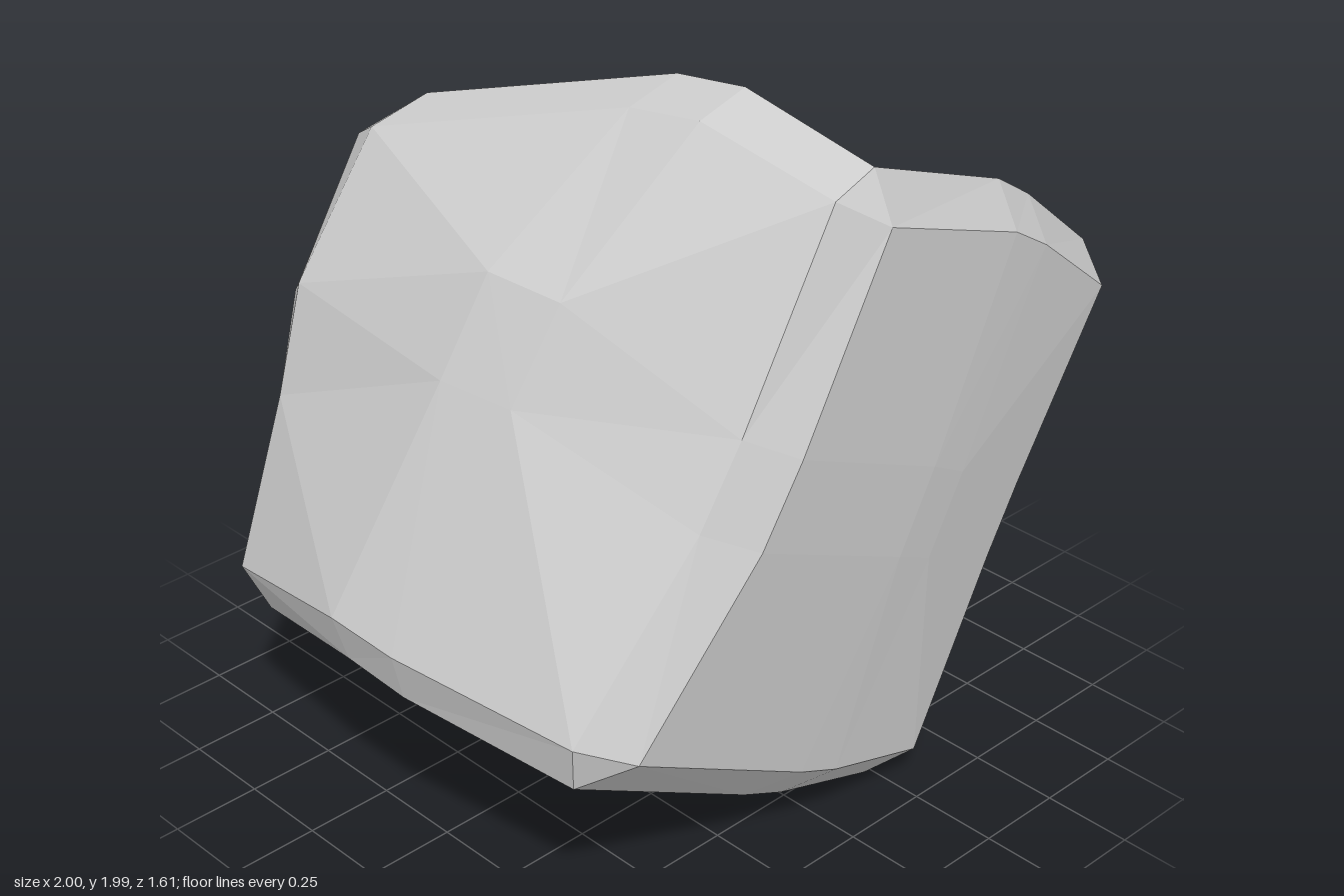
import * as THREE from 'three';

// Eight corners, key = [side on axis 0, 1, 2]. Axis 0 runs right and down, axis 1 up and
// right, axis 2 back to front. Each corner is cut into three points, one per adjoining face.
const CORNERS = {
  '001': [[-0.88, 0.66, 0.64], [-0.86, 0.53, 0.62], [-0.77, 0.62, 0.75]],
  '101': [[0.37, 0.06, 0.58], [0.23, 0, 0.58], [0.30, 0.10, 0.69]],
  '111': [[1, 1.20, 0.59], [1, 1.34, 0.59], [0.95, 1.26, 0.70]],
  '011': [[-0.12, 1.85, 0.72], [0.02, 1.89, 0.71], [0, 1.77, 0.79]],
  '000': [[-0.94, 0.65, -0.56], [-0.88, 0.51, -0.53], [-0.86, 0.56, -0.64]],
  '100': [[0.21, 0.12, -0.69], [0.10, 0.06, -0.69], [0.10, 0.16, -0.80]],
  '110': [[0.76, 1.11, -0.62], [0.72, 1.22, -0.61], [0.64, 1.13, -0.74]],
  '010': [[-0.45, 1.74, -0.55], [-0.30, 1.80, -0.51], [-0.40, 1.67, -0.67]],
};

// Where the two inner points sit along each axis
const STOPS = [[0, 0.45, 0.62, 1], [0, 0.42, 0.58, 1], [0, 0.49, 0.66, 1]];

// How far those two points of each edge are pushed off the straight line
// ('-' marks the axis the edge runs along)
const BENDS = {
  '01-': [[0.08, 0.135, 0.06], [0.055, 0.135, 0.05]],
  '11-': [[0, -0.065, -0.03], [0, -0.065, -0.03]],
  '00-': [[-0.09, 0.08, -0.13], [-0.08, 0.05, -0.13]],
  '10-': [[-0.02, -0.01, 0], [0, 0, 0]],
  '-11': [[0.06, 0.05, 0.02], [0.04, 0.05, 0.02]],
  '-01': [[0.1, -0.09, 0.01], [0.06, -0.07, 0.01]],
  '-00': [[-0.11, -0.06, 0.04], [-0.1, -0.05, 0.04]],
  '-10': [[-0.11, -0.08, 0.02], [-0.1, -0.07, 0.02]],
  '0-1': [[0.03, -0.03, 0.03], [0.03, -0.01, 0.03]],
  '1-1': [[-0.02, 0.01, 0], [-0.02, 0.01, 0]],
  '0-0': [[-0.05, -0.01, 0], [-0.04, 0.1, -0.01]],
  '1-0': [[-0.05, 0.08, -0.035], [-0.08, 0.1, -0.035]],
};

// Extra push on the middle of a face, indexed by axis then side
const BULGES = [
  [[-0.04, 0.12, 0], [0, 0, 0]],
  [[-0.02, -0.05, 0], [-0.02, -0.09, -0.03]],
  [[0, 0, 0], [0, 0, 0.01]],
];

const vec = (p) => new THREE.Vector3(...p);
const isInner = (k) => k === 1 || k === 2;
const withSide = (key, axis, s) => key.map((k, i) => (i === axis ? s : k));

// Point k (0..3) of the edge along `axis`, on the rim of the given face
function edgePoint(face, axis, key, k) {
  const a = vec(CORNERS[withSide(key, axis, 0).join('')][face]);
  const b = vec(CORNERS[withSide(key, axis, 1).join('')][face]);
  const p = a.lerp(b, STOPS[axis][k]);
  if (isInner(k)) p.add(vec(BENDS[withSide(key, axis, '-').join('')][k - 1]));
  return p;
}

// Point of a face patch blended from its four bent rims
function facePoint(face, side, i, j) {
  const a = (face + 1) % 3, b = (face + 2) % 3;
  const s = STOPS[a][i], t = STOPS[b][j];
  const key = (sa, sb) => withSide(withSide(withSide([0, 0, 0], face, side), a, sa), b, sb);
  const p = new THREE.Vector3();
  for (const n of [0, 1]) {
    const ws = n ? s : 1 - s, wt = n ? t : 1 - t;
    p.addScaledVector(edgePoint(face, a, key(0, n), i), wt);
    p.addScaledVector(edgePoint(face, b, key(n, 0), j), ws);
    for (const m of [0, 1]) {
      p.addScaledVector(vec(CORNERS[key(n, m).join('')][face]), -ws * (m ? t : 1 - t));
    }
  }
  if (isInner(i) && isInner(j)) p.add(vec(BULGES[face][side]));
  return p;
}

export function createModel() {
  const positions = [];
  const centre = new THREE.Vector3(0, 0.97, 0);

  // Adds a triangle turned to face away from the middle of the rock
  function tri(a, b, c) {
    const n = b.clone().sub(a).cross(c.clone().sub(a));
    const out = a.clone().add(b).add(c).divideScalar(3).sub(centre);
    for (const p of n.dot(out) < 0 ? [a, c, b] : [a, b, c]) positions.push(p.x, p.y, p.z);
  }
  // Splits along the shorter diagonal
  function quad(a, b, c, d) {
    if (a.distanceTo(c) > b.distanceTo(d)) [a, b, c, d] = [b, c, d, a];
    tri(a, b, c);
    tri(a, c, d);
  }

  for (let axis = 0; axis < 3; axis++) {
    // Six broad faces
    for (const side of [0, 1]) {
      for (let i = 0; i < 3; i++) {
        for (let j = 0; j < 3; j++) {
          quad(facePoint(axis, side, i, j), facePoint(axis, side, i + 1, j),
            facePoint(axis, side, i + 1, j + 1), facePoint(axis, side, i, j + 1));
        }
      }
    }
    // Twelve bevels between neighbouring faces
    const f = (axis + 1) % 3, g = (axis + 2) % 3;
    for (const m of [0, 1]) {
      for (const n of [0, 1]) {
        const key = withSide(withSide([0, 0, 0], f, m), g, n);
        for (let k = 0; k < 3; k++) {
          quad(edgePoint(f, axis, key, k), edgePoint(f, axis, key, k + 1),
            edgePoint(g, axis, key, k + 1), edgePoint(g, axis, key, k));
        }
      }
    }
  }

  // Eight cut corners
  for (const points of Object.values(CORNERS)) tri(...points.map(vec));

  const geometry = new THREE.BufferGeometry();
  geometry.setAttribute('position', new THREE.Float32BufferAttribute(positions, 3));
  geometry.computeVertexNormals();

  const rock = new THREE.Mesh(geometry,
    new THREE.MeshStandardMaterial({ color: 0xcccccc, flatShading: true }));
  rock.name = 'rock';
  const group = new THREE.Group();
  group.name = 'boulder';
  group.add(rock);
  return group;
}
